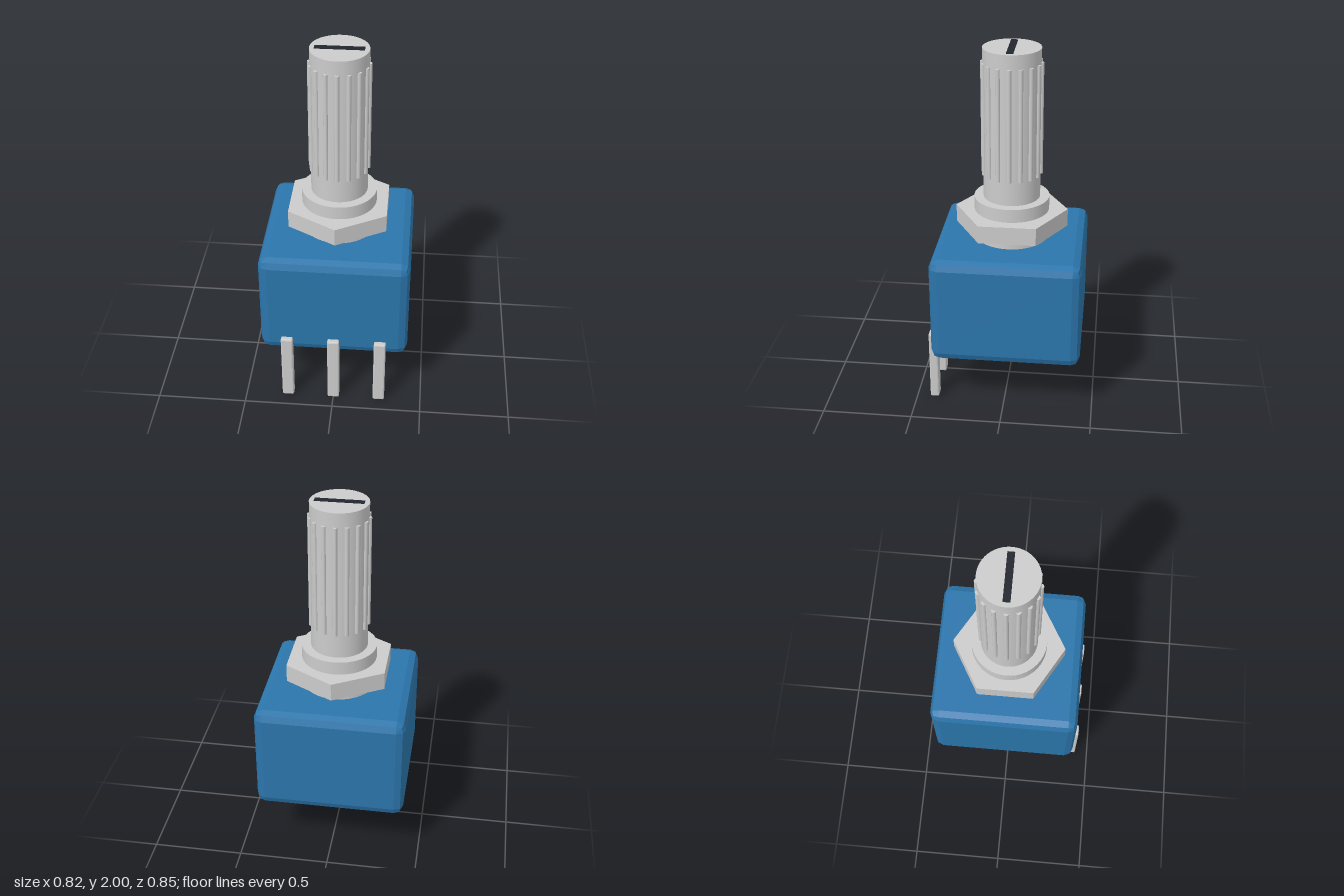
import * as THREE from 'three';
import { RoundedBoxGeometry } from 'three/addons/geometries/RoundedBoxGeometry.js';

const AXIS_Z = -0.015; // shaft axis and body centre

export function createModel() {
  const group = new THREE.Group();
  const metal = new THREE.MeshStandardMaterial({ color: 0xcccccc });
  const metalFlat = new THREE.MeshStandardMaterial({ color: 0xcccccc, flatShading: true });
  const blue = new THREE.MeshStandardMaterial({ color: 0x2b75ab, flatShading: true });
  const black = new THREE.MeshStandardMaterial({ color: 0x22262e });

  const add = (name, geometry, material, x, y, z, parent = group) => {
    const mesh = new THREE.Mesh(geometry, material);
    mesh.name = name;
    mesh.position.set(x, y, z);
    parent.add(mesh);
    return mesh;
  };
  // upright cylinder between two heights
  const post = (name, r, y0, y1, sides, material, x = 0, z = AXIS_Z, parent = group) =>
    add(name, new THREE.CylinderGeometry(r, r, y1 - y0, sides), material, x, (y0 + y1) / 2, z, parent);

  // housing with chamfered edges
  add('housing', new RoundedBoxGeometry(0.822, 0.61, 0.822, 1, 0.05), blue, 0, 0.625, AXIS_Z);

  // threaded bushing and hexagonal nut, with nut corners on the z axis
  post('bushing', 0.206, 0.92, 1.165, 48, metal);
  post('nut', 0.309, 0.99, 1.09, 6, metalFlat);

  // shaft with splines around it
  post('shaft', 0.155, 1.15, 1.997, 48, metal);
  const splines = new THREE.Group();
  splines.name = 'splines';
  group.add(splines);
  const count = 16;
  for (let i = 0; i < count; i++) {
    const a = (i / count) * Math.PI * 2;
    post('spline', 0.0125, 1.3, 1.92, 12, metal,
      Math.sin(a) * 0.155, AXIS_Z + Math.cos(a) * 0.155, splines);
  }

  // screwdriver slot in the shaft end
  add('slot', new THREE.BoxGeometry(0.258, 0.02, 0.037), black, 0, 1.99, AXIS_Z);

  // three solder pins along the front
  for (const x of [-0.26, 0, 0.26]) {
    add('pin', new RoundedBoxGeometry(0.066, 0.415, 0.05, 1, 0.008), metalFlat, x, 0.2075, 0.4);
  }

  return group;
}
